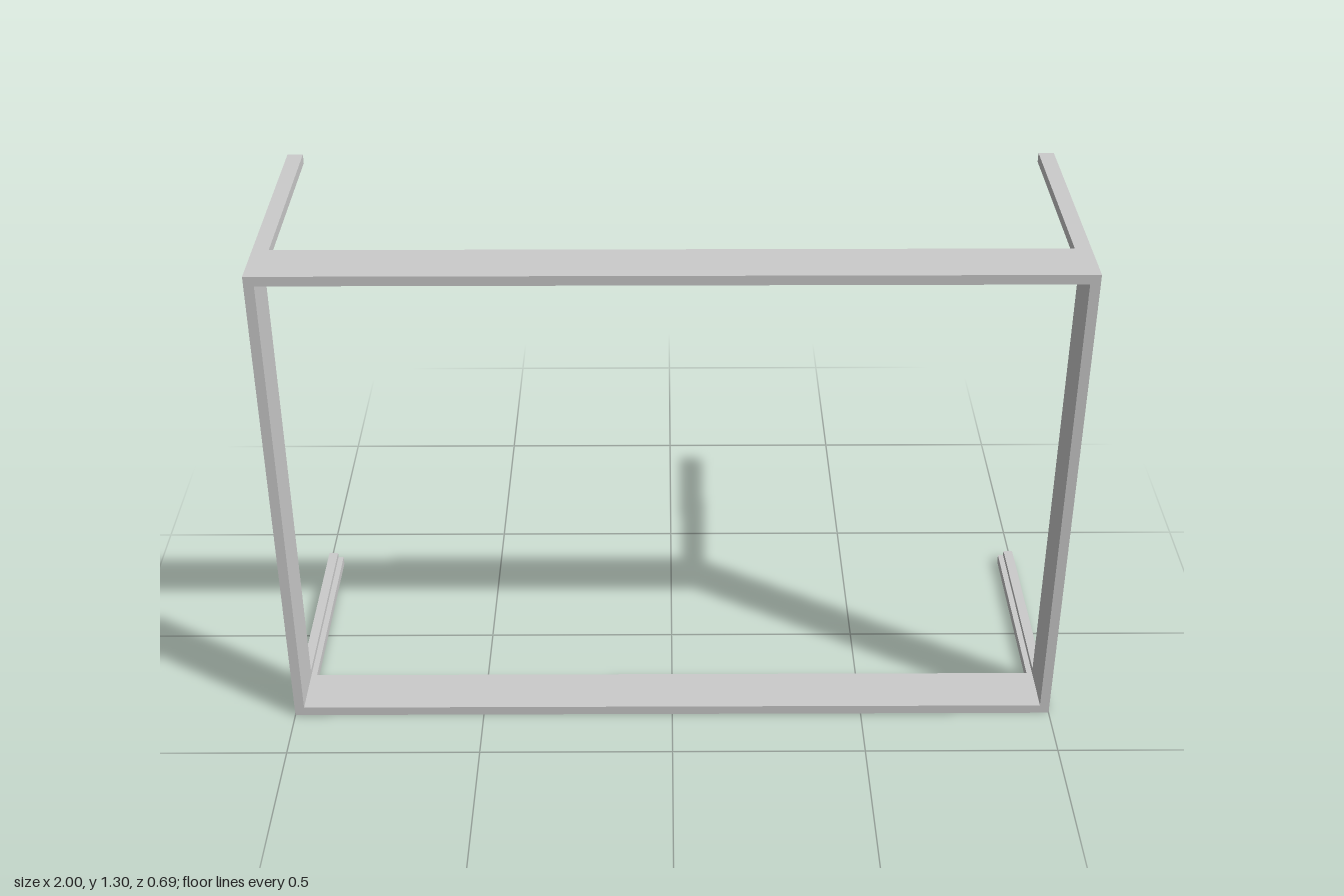
import * as THREE from 'three';

const W = 1, H = 1.305;          // half width, full height
const BACK = -0.347, MID = 0.209, FRONT = 0.347;
const T = 0.025, ARM = 0.04;     // wall thickness, arm width

const material = new THREE.MeshStandardMaterial({ color: 0xcccccc, flatShading: true });

const polygon = pts => pts.map(([x, y]) => new THREE.Vector2(x, y));

function extrude(shape, z0, z1, name) {
  const geo = new THREE.ExtrudeGeometry(shape, { depth: z1 - z0, bevelEnabled: false });
  geo.translate(0, 0, z0);
  const mesh = new THREE.Mesh(geo, material);
  mesh.name = name;
  return mesh;
}

export function createModel() {
  const group = new THREE.Group();
  group.name = 'wallFrame';

  // Rectangular front frame with an open middle
  const outline = new THREE.Shape(polygon([[-W, 0], [W, 0], [W, H], [-W, H]]));
  outline.holes.push(new THREE.Path(polygon(
    [[-W + T, T], [-W + T, H - T], [W - T, H - T], [W - T, T]])));
  group.add(extrude(outline, MID, FRONT, 'frontFrame'));

  // Four L-section arms running back from the corners
  const section = [[0, 0], [ARM, 0], [ARM, T], [T, T], [T, ARM], [0, ARM]];
  for (const [sx, side] of [[1, 'Left'], [-1, 'Right']]) {
    for (const [top, level] of [[false, 'lower'], [true, 'upper']]) {
      const pts = section.map(([a, b]) => [sx * (W - a), top ? H - b : b]);
      group.add(extrude(new THREE.Shape(polygon(pts)), BACK, MID, `${level}${side}Arm`));
    }
  }
  return group;
}
